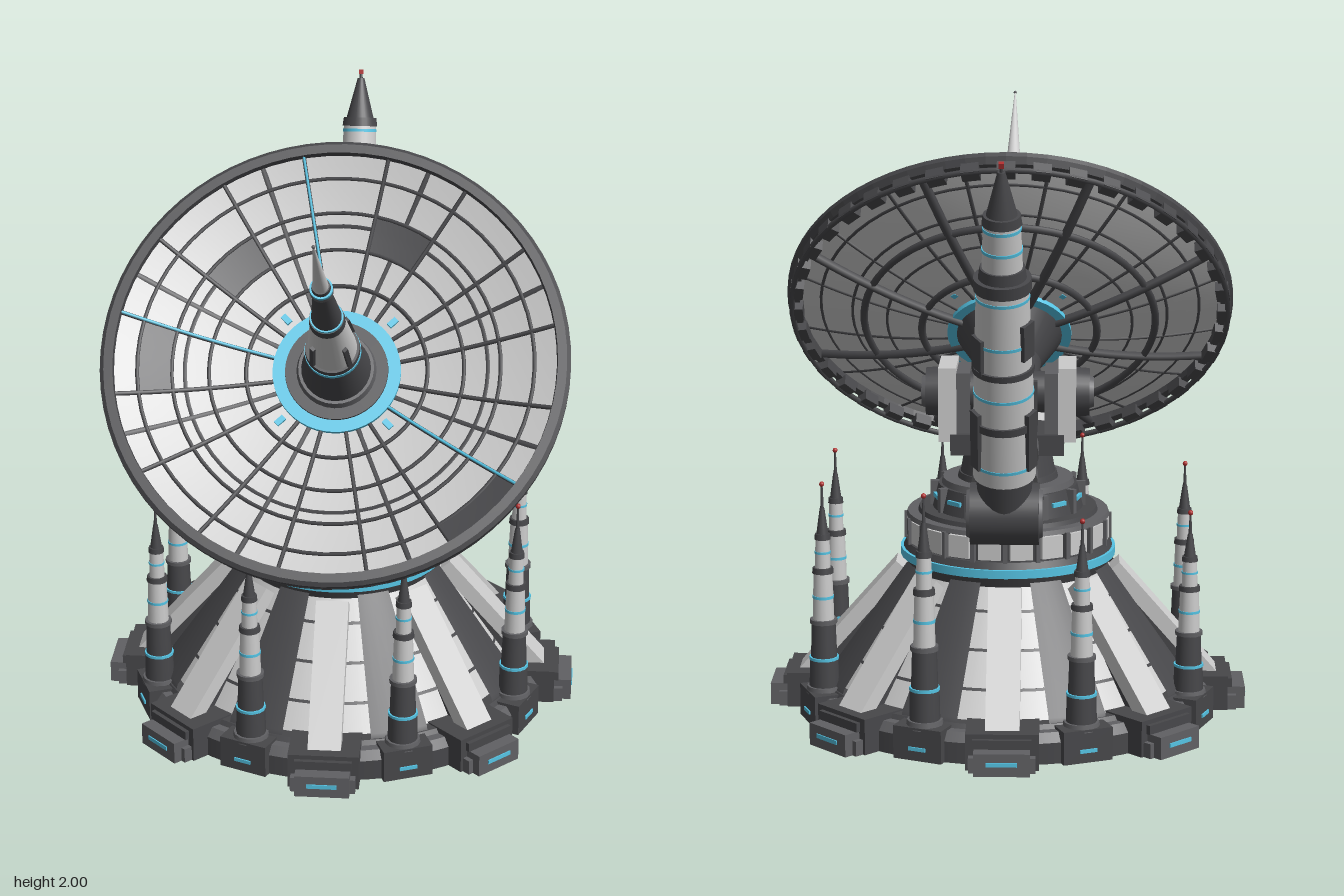
import * as THREE from 'three';

const mat = (color, side = THREE.FrontSide) => new THREE.MeshStandardMaterial({ color, side });
const LIGHT = mat(0xcccccc), DARK = mat(0x47474a), MID = mat(0x606063), CYAN = mat(0x55c4e4), RED = mat(0xb03030);
const SHELL = mat(0xcccccc, THREE.DoubleSide), DARK2 = mat(0x47474a, THREE.DoubleSide);
const V = (x, y, z) => new THREE.Vector3(x, y, z);
const deg = THREE.MathUtils.degToRad;

function add(parent, name, geo, material, x = 0, y = 0, z = 0) {
  const m = new THREE.Mesh(geo, material);
  m.name = name;
  m.position.set(x, y, z);
  parent.add(m);
  return m;
}
const box = (p, name, m, w, h, d, x, y, z) => add(p, name, new THREE.BoxGeometry(w, h, d), m, x, y, z);

// Stacked round sections: [y0, y1, r0, r1, material]
function stack(parent, name, rows, seg = 32) {
  for (const [y0, y1, r0, r1, m] of rows)
    add(parent, name, new THREE.CylinderGeometry(r1, r0, y1 - y0, seg), m, 0, (y0 + y1) / 2, 0);
}

// Round bar between two points
function bar(parent, name, a, b, r0, r1, m, seg = 24) {
  const d = b.clone().sub(a);
  const c = add(parent, name, new THREE.CylinderGeometry(r1, r0, d.length(), seg), m);
  c.position.copy(a).addScaledVector(d, 0.5);
  c.quaternion.setFromUnitVectors(V(0, 1, 0), d.normalize());
}

function group(parent, name, pos = V(0, 0, 0)) {
  const g = new THREE.Group();
  g.name = name;
  g.position.copy(pos);
  parent.add(g);
  return g;
}

// Group whose y axis points along dir and whose x axis is the shared tilt hinge
function frame(parent, name, pos, dir) {
  const g = group(parent, name, pos), x = V(1, 0, 1).normalize(), y = dir.normalize();
  g.quaternion.setFromRotationMatrix(new THREE.Matrix4().makeBasis(x, y, x.clone().cross(y)));
  return g;
}

// Repeats fn in n groups turned about y; +x is the outward direction
function around(parent, name, n, offset, fn) {
  for (let i = 0; i < n; i++) {
    const g = group(parent, name);
    g.rotation.y = offset + (i / n) * Math.PI * 2;
    fn(g, i);
  }
}

function buildBase(root) {
  const base = group(root, 'base', V(0.02, 0, -0.02));
  stack(base, 'baseDisc', [[0, 0.07, 0.7, 0.7, DARK], [0.07, 0.1, 0.7, 0.68, MID], [0.1, 0.115, 0.65, 0.64, DARK]], 64);
  stack(base, 'coneBody', [[0.1, 0.5, 0.61, 0.33, LIGHT]], 64);
  for (const y of [0.2, 0.31, 0.42])
    stack(base, 'coneSeam', [[y - 0.004, y + 0.004, 0.684 - y * 0.7, 0.678 - y * 0.7, DARK]], 64);

  // Dark raised panels on the cone, between the buttresses
  const panel = [[0.64, 0.1], [0.63, 0.13], [0.35, 0.505], [0.32, 0.505]].map(p => new THREE.Vector2(...p));
  for (let i = 0; i < 8; i++)
    add(base, 'conePanel', new THREE.LatheGeometry(panel, 5, deg(22.5 + 45 * i - 9), deg(18)), DARK2);

  // Feet and sloping buttresses
  around(base, 'buttress', 8, 0, g => {
    box(g, 'footBlock', DARK, 0.17, 0.12, 0.235, 0.665, 0.06, 0);
    box(g, 'footToe', MID, 0.12, 0.075, 0.18, 0.75, 0.0375, 0);
    box(g, 'footCap', DARK, 0.07, 0.03, 0.19, 0.73, 0.09, 0);
    box(g, 'footLight', CYAN, 0.006, 0.014, 0.1, 0.811, 0.04, 0);
    for (const z of [-0.09, 0.09]) box(g, 'footSide', MID, 0.1, 0.05, 0.035, 0.73, 0.025, z);
    const beam = box(g, 'beam', LIGHT, 0.05, 0.53, 0.11, 0.535, 0.285, 0);
    beam.rotation.z = Math.atan2(0.35, 0.4);
    const backing = box(g, 'beamBacking', DARK, 0.06, 0.51, 0.07, 0.495, 0.26, 0);
    backing.rotation.z = beam.rotation.z;
  });

  // Signal towers on the rim, in slightly different heights
  const heights = [0.87, 0.79, 0.73, 0.78, 0.8, 0.8, 0.82, 0.82];
  around(base, 'tower', 8, Math.PI / 8, (g, i) => {
    box(g, 'towerPlinth', DARK, 0.13, 0.11, 0.17, 0.655, 0.055, 0);
    box(g, 'plinthLight', CYAN, 0.006, 0.012, 0.06, 0.722, 0.04, 0);
    const t = group(g, 'towerMast', V(0.66, 0.1, 0));
    t.scale.y = (heights[i] - 0.1) / 0.75;
    stack(t, 'towerSection', [
      [0, 0.025, 0.062, 0.058, MID], [0.025, 0.12, 0.05, 0.048, DARK], [0.12, 0.13, 0.05, 0.05, CYAN],
      [0.13, 0.25, 0.044, 0.04, DARK], [0.25, 0.265, 0.046, 0.046, MID], [0.265, 0.34, 0.036, 0.034, LIGHT],
      [0.34, 0.35, 0.036, 0.036, CYAN], [0.35, 0.43, 0.034, 0.031, LIGHT], [0.43, 0.45, 0.036, 0.034, DARK],
      [0.45, 0.5, 0.026, 0.025, LIGHT], [0.5, 0.508, 0.027, 0.027, CYAN], [0.508, 0.55, 0.025, 0.023, LIGHT],
      [0.55, 0.57, 0.027, 0.025, DARK], [0.57, 0.66, 0.02, 0.008, DARK], [0.66, 0.745, 0.006, 0.003, DARK]], 14);
    const beacon = add(t, 'towerBeacon', new THREE.SphereGeometry(0.009, 8, 6), RED, 0, 0.745, 0);
    beacon.scale.y = 1 / t.scale.y;
  });

  // Collar and turntable
  stack(base, 'collar', [
    [0.49, 0.525, 0.34, 0.355, DARK], [0.525, 0.553, 0.365, 0.365, CYAN], [0.553, 0.575, 0.355, 0.345, DARK],
    [0.575, 0.66, 0.33, 0.33, DARK], [0.66, 0.675, 0.345, 0.34, MID], [0.675, 0.69, 0.305, 0.3, DARK],
    [0.69, 0.77, 0.255, 0.235, DARK], [0.77, 0.79, 0.225, 0.22, MID], [0.79, 0.81, 0.17, 0.165, DARK],
    [0.81, 0.92, 0.16, 0.14, DARK]], 48);
  around(base, 'collarPanel', 20, 0, g => {
    box(g, 'panelPlate', LIGHT, 0.016, 0.075, 0.075, 0.334, 0.618, 0);
    box(g, 'panelPost', MID, 0.02, 0.09, 0.014, 0.338, 0.618, 0.054).rotation.y = -0.157;
  });
  around(base, 'turntableBay', 12, 0, g => {
    box(g, 'window', CYAN, 0.012, 0.014, 0.06, 0.246, 0.732, 0);
    const rib = group(g, 'bayRib');
    rib.rotation.y = Math.PI / 12;
    box(rib, 'ribPost', MID, 0.03, 0.085, 0.02, 0.248, 0.73, 0);
  });
}

// Dish bowl height at a given radius
const bowl = r => 0.245 + 0.145 * (r / 0.75) ** 2;
const bowlPatch = (r0, r1, off, n, a0, span, seg) => new THREE.LatheGeometry(
  Array.from({ length: n + 1 }, (_, i) => r0 + (r1 - r0) * i / n).map(r => new THREE.Vector2(r, bowl(r) + off)), seg, a0, span);

function buildDish(root, pivot) {
  const dish = frame(root, 'dish', pivot, V(-0.527, 0.667, 0.527));
  add(dish, 'bowl', bowlPatch(0.08, 0.745, 0, 14, 0, Math.PI * 2, 64), SHELL);
  const rib = (name, a, off, thick, r0, r1, m) => {
    const pts = [0, 1, 2, 3, 4].map(i => r0 + (r1 - r0) * i / 4).map(r => V(r * Math.cos(a), bowl(r) + off, r * Math.sin(a)));
    add(dish, name, new THREE.TubeGeometry(new THREE.CatmullRomCurve3(pts), 10, thick, 6), m);
  };
  const hoop = (name, r, y, thick, m) => {
    add(dish, name, new THREE.TorusGeometry(r, thick, 6, 64), m, 0, y, 0).rotation.x = Math.PI / 2;
  };

  // Front lattice, three of its rays lit
  for (let i = 0; i < 16; i++) {
    const a = deg(11.25 + 22.5 * i), lit = [1, 8, 11].includes(i);
    rib('frontRib', a, 0.003, 0.0075, 0.2, 0.73, DARK);
    if (lit) rib('litRay', a, 0.009, 0.005, 0.2, 0.73, CYAN);
  }
  for (const r of [0.3, 0.42, 0.54, 0.65]) hoop('frontHoop', r, bowl(r) + 0.003, 0.0065, DARK);
  for (const [a, r0, r1] of [[180, 0.54, 0.65], [-67.5, 0.42, 0.54], [45, 0.65, 0.73], [225, 0.42, 0.54]])
    add(dish, 'darkPanel', bowlPatch(r0, r1, 0.005, 3, deg(90 - a - 11.25), deg(22.5), 6), DARK2);

  // Back frame
  for (let i = 0; i < 8; i++) rib('backSpoke', deg(22.5 + 45 * i), -0.012, 0.016, 0.12, 0.73, DARK);
  for (const r of [0.3, 0.5]) hoop('backHoop', r, bowl(r) - 0.01, 0.013, DARK);

  // Rim with clamps
  const rim = [[0.725, 0.355], [0.752, 0.355], [0.768, 0.375], [0.768, 0.392], [0.755, 0.402], [0.725, 0.402], [0.722, 0.385], [0.725, 0.355]];
  const rimMat = DARK.clone();
  rimMat.flatShading = true;
  add(dish, 'rim', new THREE.LatheGeometry(rim.map(p => new THREE.Vector2(...p)), 72), rimMat);
  around(dish, 'rimClamp', 40, 0, g => box(g, 'clampBlock', DARK, 0.045, 0.04, 0.06, 0.735, 0.343, 0));
  hoop('rimBackHoop', 0.75, 0.33, 0.01, DARK);

  // Rear hub, lit ring and feed mast
  stack(dish, 'rearHub', [[0.0, 0.12, 0.1, 0.11, DARK], [0.12, 0.24, 0.11, 0.18, DARK]], 32);
  stack(dish, 'hubRing', [[0.24, 0.272, 0.212, 0.212, CYAN], [0.24, 0.278, 0.175, 0.17, DARK]], 48);
  stack(dish, 'feedMast', [
    [0.27, 0.3, 0.135, 0.125, MID], [0.3, 0.46, 0.115, 0.085, DARK], [0.46, 0.478, 0.092, 0.092, CYAN],
    [0.478, 0.5, 0.09, 0.088, DARK], [0.5, 0.74, 0.08, 0.055, LIGHT], [0.74, 0.775, 0.058, 0.055, DARK],
    [0.775, 0.785, 0.053, 0.053, CYAN], [0.785, 1.0, 0.048, 0.028, DARK], [1.0, 1.02, 0.036, 0.036, MID],
    [1.02, 1.032, 0.036, 0.036, CYAN], [1.032, 1.05, 0.03, 0.028, DARK], [1.05, 1.365, 0.024, 0.002, LIGHT]], 28);
  add(dish, 'feedTip', new THREE.SphereGeometry(0.006, 8, 6), MID, 0, 1.365, 0);
  around(dish, 'mastFin', 4, Math.PI / 4, g => {
    box(g, 'fin', DARK, 0.02, 0.13, 0.016, 0.075, 0.56, 0).rotation.z = 0.1;
    box(g, 'hubLamp', CYAN, 0.035, 0.01, 0.02, 0.25, bowl(0.25) + 0.005, 0);
  });
}

function buildYoke(root, pivot) {
  const yoke = frame(root, 'yoke', pivot, V(0, 1, 0));
  box(yoke, 'yokeFloor', DARK, 0.38, 0.07, 0.24, 0, -0.16, 0);
  box(yoke, 'yokeCore', DARK, 0.2, 0.18, 0.18, 0, -0.04, 0);
  bar(yoke, 'hinge', V(-0.24, 0, 0), V(0.24, 0, 0), 0.07, 0.07, DARK);
  for (const s of [-1, 1]) {
    box(yoke, 'yokeCheek', LIGHT, 0.06, 0.25, 0.23, s * 0.2, -0.025, 0);
    box(yoke, 'cheekInner', MID, 0.05, 0.22, 0.2, s * 0.15, -0.03, 0);
    bar(yoke, 'trunnion', V(s * 0.22, 0, 0), V(s * 0.275, 0, 0), 0.085, 0.08, DARK);
    bar(yoke, 'trunnionCap', V(s * 0.275, 0, 0), V(s * 0.29, 0, 0), 0.055, 0.05, MID);
    // Tilt pistons
    bar(yoke, 'pistonSleeve', V(s * 0.1, -0.16, 0.08), V(s * 0.1, -0.13, 0.3), 0.028, 0.028, LIGHT, 16);
    bar(yoke, 'pistonRod', V(s * 0.1, -0.13, 0.3), V(s * 0.1, -0.105, 0.46), 0.016, 0.016, MID, 12);
  }
  // Rear arm carrying the boom
  const a = V(0, -0.08, -0.08), b = V(0, -0.28, -0.53);
  const at = t => a.clone().lerp(b, t);
  bar(yoke, 'rearArm', a, b, 0.095, 0.095, DARK, 32);
  for (const t of [0.3, 0.62]) bar(yoke, 'armBand', at(t), at(t + 0.1), 0.108, 0.108, MID, 32);
}

function buildBoom(root) {
  const boom = frame(root, 'boom', V(0.395, 0.79, -0.4), V(0.265, 1.17, -0.265));
  bar(boom, 'boomJoint', V(-0.11, 0, 0), V(0.11, 0, 0), 0.1, 0.1, DARK, 32);
  for (const s of [-1, 1]) bar(boom, 'jointCap', V(s * 0.11, 0, 0), V(s * 0.122, 0, 0), 0.08, 0.075, MID);
  stack(boom, 'boomSection', [
    [0.02, 0.15, 0.085, 0.09, DARK], [0.15, 0.2, 0.1, 0.1, LIGHT], [0.2, 0.21, 0.102, 0.102, CYAN],
    [0.21, 0.34, 0.1, 0.097, LIGHT], [0.34, 0.365, 0.104, 0.104, DARK], [0.365, 0.45, 0.096, 0.094, LIGHT],
    [0.45, 0.46, 0.096, 0.096, CYAN], [0.46, 0.53, 0.094, 0.092, LIGHT], [0.53, 0.55, 0.098, 0.098, DARK],
    [0.55, 0.63, 0.09, 0.088, LIGHT], [0.63, 0.64, 0.09, 0.09, CYAN], [0.64, 0.78, 0.088, 0.083, LIGHT],
    [0.78, 0.79, 0.085, 0.085, CYAN], [0.79, 0.81, 0.083, 0.082, LIGHT], [0.81, 0.85, 0.09, 0.09, DARK],
    [0.85, 0.885, 0.075, 0.07, DARK], [0.885, 0.94, 0.063, 0.061, LIGHT], [0.94, 0.95, 0.064, 0.064, CYAN],
    [0.95, 1.01, 0.061, 0.058, LIGHT], [1.01, 1.02, 0.06, 0.06, CYAN], [1.02, 1.03, 0.058, 0.057, LIGHT],
    [1.03, 1.06, 0.062, 0.058, DARK], [1.06, 1.2, 0.048, 0.012, DARK], [1.2, 1.22, 0.006, 0.005, DARK]], 28);
  box(boom, 'boomBeacon', RED, 0.016, 0.016, 0.016, 0, 1.222, 0);
  // Raised dark plates on the boom
  around(boom, 'boomPlates', 3, Math.PI / 6, (g, i) => {
    box(g, 'lowerPlate', DARK, 0.02, 0.2, 0.05, 0.097, 0.3, 0);
    box(g, 'upperPlate', DARK, 0.016, 0.12, 0.06, 0.087, 0.6 + 0.05 * i, 0);
  });
}

export function createModel() {
  const root = new THREE.Group();
  root.name = 'dishStation';
  const pivot = V(0.02, 1.08, -0.02);
  buildBase(root);
  buildYoke(root, pivot);
  buildDish(root, pivot);
  buildBoom(root);
  return root;
}
